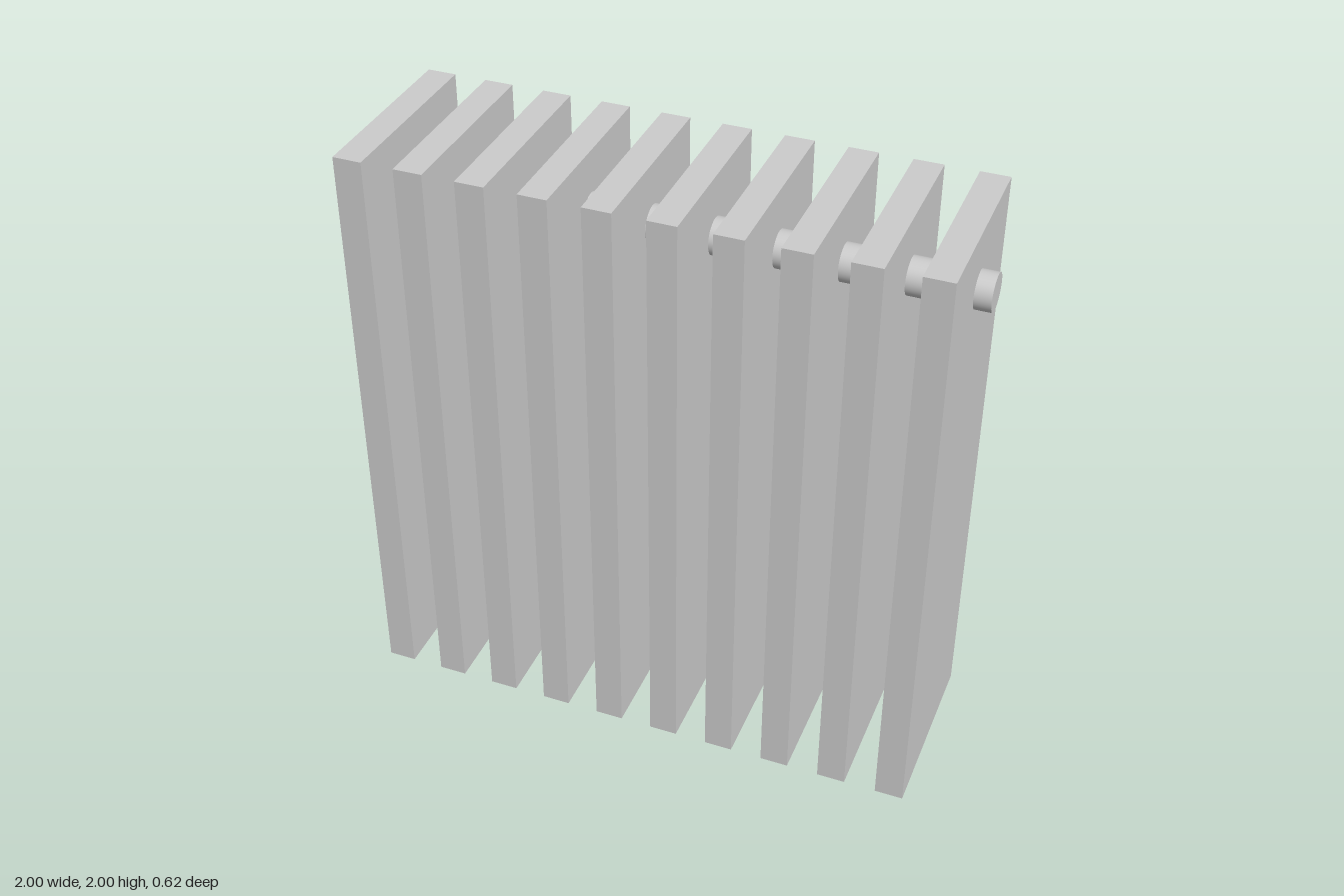
import * as THREE from 'three';

const FIN_COUNT = 10;
const FIN_SPACING = 0.2;

export function createModel() {
  const group = new THREE.Group();
  group.name = 'radiator';
  const material = new THREE.MeshStandardMaterial({ color: 0xcccccc });

  // Row of identical upright slabs
  const finGeometry = new THREE.BoxGeometry(0.094, 2, 0.62);
  for (let i = 0; i < FIN_COUNT; i++) {
    const fin = new THREE.Mesh(finGeometry, material);
    fin.name = `fin${i + 1}`;
    fin.position.set((i - (FIN_COUNT - 1) / 2) * FIN_SPACING, 1, 0);
    group.add(fin);
  }

  // Round pipe running through all the fins near the top
  const pipe = new THREE.Mesh(new THREE.CylinderGeometry(0.06, 0.06, 2, 48), material);
  pipe.name = 'pipe';
  pipe.rotation.z = Math.PI / 2;
  pipe.position.y = 1.8;
  group.add(pipe);

  return group;
}
